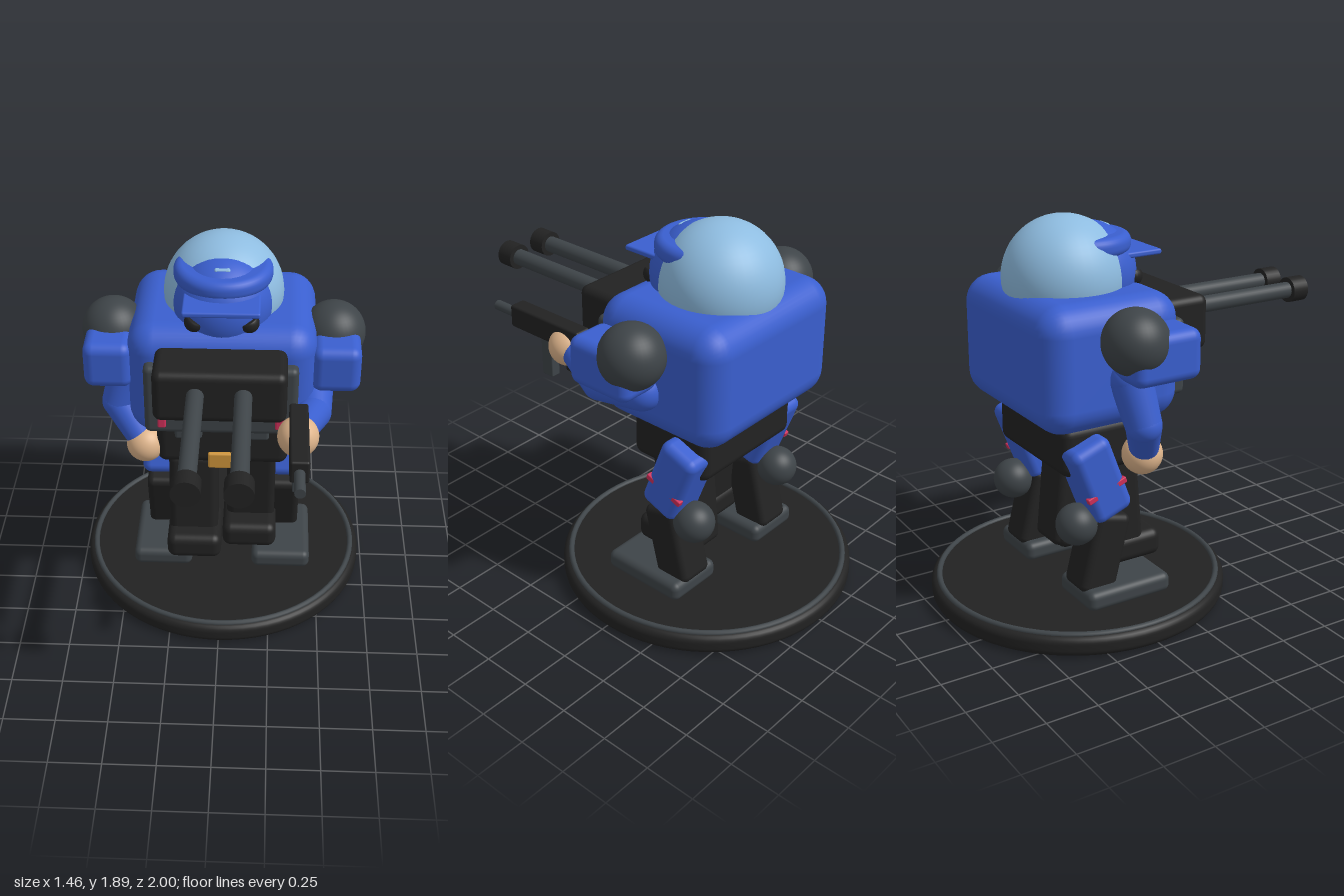
import * as THREE from 'three';
import { RoundedBoxGeometry } from 'three/addons/geometries/RoundedBoxGeometry.js';

const mat = (name, color) => new THREE.MeshStandardMaterial({ name, color });

export function createModel() {
  const model = new THREE.Group();
  model.name = 'armouredTrooper';

  const blue = mat('blue armour', 0x3a5fcf);
  const black = mat('black', 0x222222);
  const grey = mat('gunmetal grey', 0x3e4448);
  const glass = mat('light blue dome', 0x8ebce0);
  const skin = mat('skin', 0xdfb58c);
  const red = mat('red', 0xd0305a);
  const gold = mat('gold', 0xd0963c);

  // Helpers: every part is placed by its centre
  function add(name, geometry, material, x, y, z, parent = model) {
    const mesh = new THREE.Mesh(geometry, material);
    mesh.name = name;
    mesh.position.set(x, y, z);
    parent.add(mesh);
    return mesh;
  }
  // Rounded box given by its extents on each axis
  function box(name, material, [x0, x1], [y0, y1], [z0, z1], radius, parent) {
    const geometry = new RoundedBoxGeometry(x1 - x0, y1 - y0, z1 - z0, 4, radius);
    return add(name, geometry, material, (x0 + x1) / 2, (y0 + y1) / 2, (z0 + z1) / 2, parent);
  }
  const ball = (name, material, r, x, y, z, parent) =>
    add(name, new THREE.SphereGeometry(r, 40, 28), material, x, y, z, parent);
  // Cylinder along z
  function rod(name, material, r, x, y, z0, z1) {
    const mesh = add(name, new THREE.CylinderGeometry(r, r, z1 - z0, 28), material, x, y, (z0 + z1) / 2);
    mesh.rotation.x = Math.PI / 2;
    return mesh;
  }
  // Tapered limb between two points, with round ends
  function limb(name, material, from, to, r0, r1) {
    const a = new THREE.Vector3(...from), b = new THREE.Vector3(...to);
    const dir = b.clone().sub(a);
    const mid = a.clone().add(b).multiplyScalar(0.5);
    const tube = add(name, new THREE.CylinderGeometry(r1, r0, dir.length(), 28, 1, true), material, ...mid);
    tube.quaternion.setFromUnitVectors(new THREE.Vector3(0, 1, 0), dir.normalize());
    ball(name + 'Start', material, r0, ...from);
    ball(name + 'End', material, r1, ...to);
  }
  // Round disc with a rounded rim
  function disc(r, h, bevel) {
    const pts = [new THREE.Vector2(0, 0)];
    for (const [cy, start] of [[bevel, -Math.PI / 2], [h - bevel, 0]])
      for (let i = 0; i <= 6; i++) {
        const a = start + (i / 6) * Math.PI / 2;
        pts.push(new THREE.Vector2(r - bevel + Math.cos(a) * bevel, cy + Math.sin(a) * bevel));
      }
    pts.push(new THREE.Vector2(0, h));
    return new THREE.LatheGeometry(pts, 72);
  }

  // Display base
  add('base', disc(0.73, 0.1, 0.035), black, 0, 0, -0.27);
  const ring = add('baseRing', new THREE.TorusGeometry(0.69, 0.014, 10, 72), grey, 0, 0.1, -0.27);
  ring.rotation.x = Math.PI / 2;

  // Torso and waist
  box('torso', blue, [-0.45, 0.45], [0.97, 1.57], [-0.66, 0.06], 0.13);
  box('waist', black, [-0.33, 0.33], [0.73, 0.98], [-0.52, -0.07], 0.05);
  box('buckle', gold, [-0.07, 0.07], [0.72, 0.81], [-0.12, -0.05], 0.01);

  // Chest plate and twin cannon
  box('chestPlate', grey, [-0.365, 0.365], [1.05, 1.42], [-0.02, 0.115], 0.03);
  box('cannonHousing', black, [-0.31, 0.31], [1.23, 1.495], [0.02, 0.283], 0.04);
  for (const s of [-1, 1]) {
    rod('cannonBarrel', grey, 0.041, s * 0.11, 1.385, 0.26, 0.93);
    rod('cannonMuzzle', black, 0.064, s * 0.11, 1.385, 0.912, 1);
    box('chestStripe', red, [s * 0.28 - 0.02, s * 0.28 + 0.02], [1.1, 1.27], [0.1, 0.14], 0.008);
    box('beltPouch', grey, [s * 0.165 - 0.068, s * 0.165 + 0.068], [0.92, 1], [-0.1, -0.02], 0.015);
  }

  // Head, dome and cap
  ball('dome', glass, 0.29, 0, 1.6, -0.325);
  ball('head', blue, 0.24, 0, 1.61, -0.21);
  add('cap', disc(0.235, 0.095, 0.04), blue, 0, 1.705, -0.235);
  box('capVisor', blue, [-0.18, 0.18], [1.685, 1.712], [-0.12, 0.1], 0.01);
  box('capBadge', glass, [-0.038, 0.038], [1.8, 1.828], [-0.14, -0.095], 0.01);

  // Scowling eyes: spheres with the top flattened along a slant
  for (const s of [-1, 1]) {
    const geometry = new THREE.SphereGeometry(0.048, 28, 20);
    const p = geometry.attributes.position;
    for (let i = 0; i < p.count; i++) p.setY(i, Math.min(p.getY(i), 0.016));
    geometry.computeVertexNormals();
    const eye = add('eye', geometry, black, s * 0.128, 1.59, -0.03);
    eye.rotation.z = s * 0.45;
  }

  // Shoulders
  for (const s of [-1, 1]) {
    ball('shoulderJoint', grey, 0.155, s * 0.535, 1.41, -0.27);
    box('shoulderPad', blue, [s * 0.545 - 0.117, s * 0.545 + 0.117], [1.225, 1.463], [-0.34, 0.01], 0.05);
  }

  // Left arm reaching forward, right arm hanging bent
  limb('leftUpperArm', blue, [0.45, 1.2, -0.25], [0.445, 1.13, 0.02], 0.1, 0.085);
  limb('leftForearm', blue, [0.445, 1.13, 0.02], [0.375, 1.18, 0.25], 0.085, 0.07);
  ball('leftHand', skin, 0.097, 0.365, 1.19, 0.305);
  limb('rightUpperArm', blue, [-0.46, 1.22, -0.25], [-0.525, 1.01, -0.22], 0.1, 0.085);
  limb('rightForearm', blue, [-0.525, 1.01, -0.22], [-0.42, 0.85, -0.15], 0.085, 0.07);
  ball('rightHand', skin, 0.097, -0.39, 0.81, -0.14);

  // Hand-held gun
  box('gunBody', black, [0.322, 0.41], [1.19, 1.305], [0.2, 0.66], 0.012);
  rod('gunBarrel', grey, 0.025, 0.366, 1.245, 0.64, 0.8);
  box('gunMagazine', grey, [0.341, 0.391], [0.99, 1.2], [0.4, 0.47], 0.006);
  box('gunGrip', black, [0.336, 0.396], [1.07, 1.2], [0.22, 0.3], 0.01);

  // Inner legs with boots; the right one stands further forward
  for (const [s, z, tilt] of [[-1, -0.16, -0.08], [1, -0.26, 0.1]]) {
    const leg = box('innerLeg', black, [s * 0.147 - 0.125, s * 0.147 + 0.125], [0.2, 0.76], [z - 0.1, z + 0.1], 0.04);
    leg.rotation.x = tilt;
    box('boot', black, [s * 0.142 - 0.14, s * 0.142 + 0.14], [0.195, 0.335], [z - 0.1, z + 0.21], 0.045);
  }

  // Outer legs: thigh with stripe, knee, shin and foot
  for (const s of [-1, 1]) {
    const thigh = new THREE.Group();
    thigh.name = 'thigh';
    thigh.position.set(s * 0.315, 0.72, -0.36);
    thigh.rotation.x = -0.36;
    model.add(thigh);
    box('thighArmour', blue, [-0.105, 0.105], [-0.2, 0.2], [-0.105, 0.105], 0.045, thigh);
    box('thighStripe', red, [s * 0.09 - 0.015, s * 0.09 + 0.015], [-0.062, -0.032], [-0.108, 0.108], 0.006, thigh);
    ball('knee', grey, 0.1, s * 0.32, 0.5, -0.455);
    const shin = box('shin', black, [s * 0.305 - 0.095, s * 0.305 + 0.095], [0.14, 0.54], [-0.43, -0.24], 0.035);
    shin.rotation.x = 0.25;
    box('foot', grey, [s * 0.31 - 0.152, s * 0.31 + 0.152], [0.09, 0.188], [-0.465, -0.015], 0.035);
  }

  return model;
}
